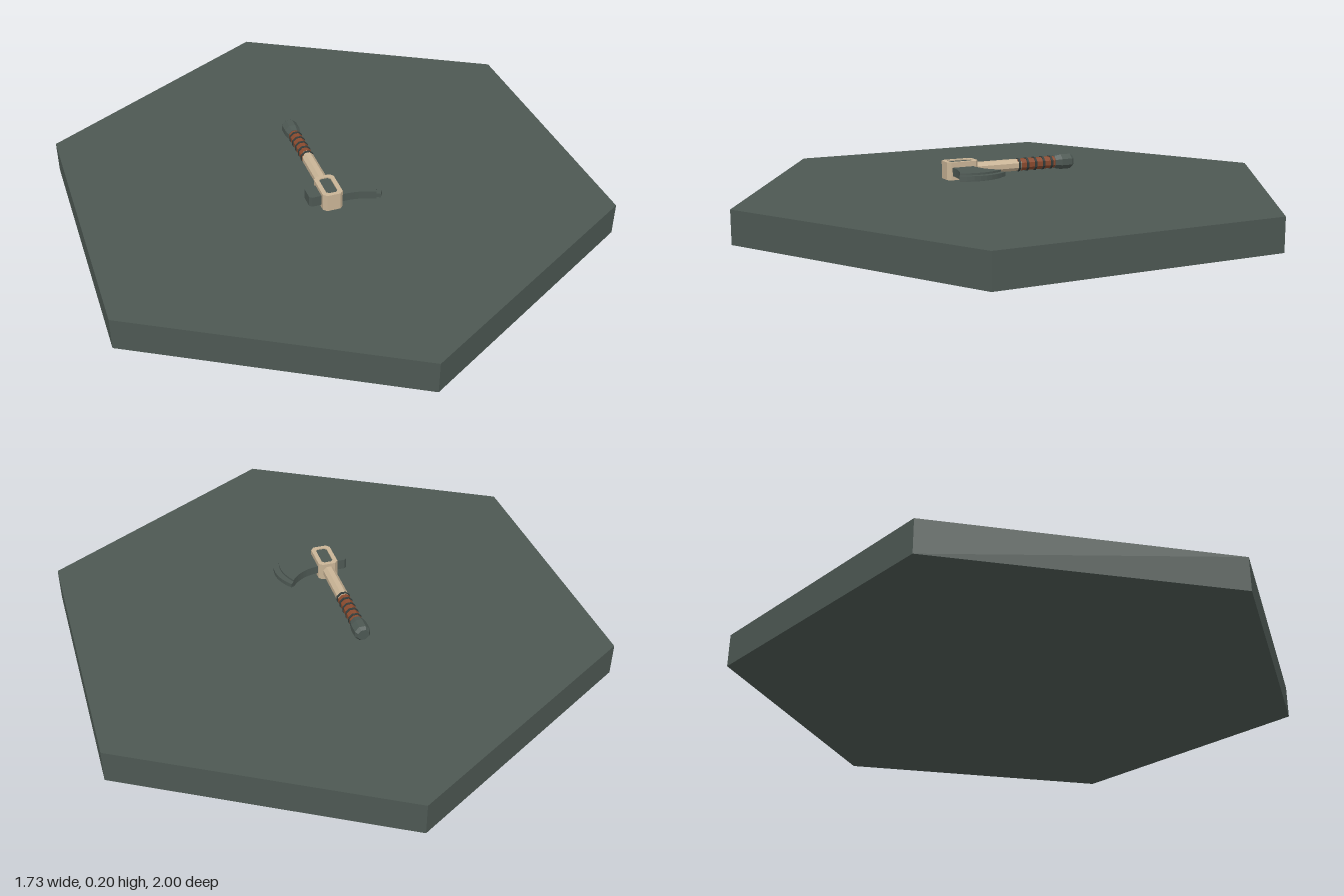
import * as THREE from 'three';

const mat = (name, color) => {
  const m = new THREE.MeshStandardMaterial({ color, flatShading: true });
  m.name = name;
  return m;
};

export function createModel() {
  const model = new THREE.Group();
  const slate = mat('slate', 0x4d5853);
  const tan = mat('tan', 0xc9b496);
  const brown = mat('brown', 0x8a4a2e);
  const dark = mat('charcoal', 0x343c3a);
  const AX = -0.055, AY = 0.172; // axe handle axis

  const add = (name, geo, material) => {
    const mesh = new THREE.Mesh(geo, material);
    mesh.name = name;
    model.add(mesh);
    return mesh;
  };

  // Eight-sided section along z between z0 and z1
  const rod = (name, z0, z1, r0, r1, material) => {
    const geo = new THREE.CylinderGeometry(r1, r0, z1 - z0, 8);
    geo.rotateY(Math.PI / 8).rotateX(Math.PI / 2).translate(AX, AY, (z0 + z1) / 2);
    return add(name, geo, material);
  };

  // Horizontal plate: outline in x and z, between two heights
  const slab = (name, shape, y0, y1, material) => {
    const geo = new THREE.ExtrudeGeometry(shape, { depth: y1 - y0, bevelEnabled: false, curveSegments: 8 });
    geo.rotateX(Math.PI / 2).translate(0, y1, 0);
    return add(name, geo, material);
  };

  // Rectangle with cut corners
  const chamfered = (x0, x1, z0, z1, c, Type = THREE.Shape) => new Type([
    [x0 + c, z0], [x1 - c, z0], [x1, z0 + c], [x1, z1 - c],
    [x1 - c, z1], [x0 + c, z1], [x0, z1 - c], [x0, z0 + c],
  ].map(p => new THREE.Vector2(...p)));

  // Hexagonal base
  add('hexagonalBase', new THREE.CylinderGeometry(1, 1, 0.115, 6).translate(0, 0.0575, 0), slate);

  // Handle, wrapped grip and pommel
  rod('handle', -0.05, 0.14, 0.022, 0.022, tan);
  rod('grip', -0.2, -0.035, 0.022, 0.022, brown);
  for (let i = 0; i < 5; i++) {
    const z = -0.042 - i * 0.032;
    rod('gripBand', z - 0.004, z + 0.004, 0.0245, 0.0245, dark);
  }
  rod('pommelCollar', -0.21, -0.185, 0.029, 0.024, slate);
  rod('pommel', -0.248, -0.21, 0.029, 0.029, slate);
  rod('pommelTip', -0.26, -0.248, 0.021, 0.029, slate);

  // Head collar with a recessed core
  const collar = chamfered(-0.091, -0.021, 0.125, 0.241, 0.012);
  collar.holes.push(chamfered(-0.076, -0.036, 0.139, 0.227, 0.008, THREE.Path));
  slab('headCollar', collar, 0.142, 0.204, tan);
  slab('headCore', chamfered(-0.076, -0.036, 0.139, 0.227, 0.008), 0.146, 0.2, slate);

  // Hammer poll behind the collar
  slab('poll', chamfered(-0.132, -0.085, 0.153, 0.215, 0.008), 0.153, 0.19, slate);

  // Flared blade body
  const blade = new THREE.Shape();
  blade.moveTo(-0.025, 0.147);
  blade.quadraticCurveTo(0.045, 0.145, 0.085, 0.092);
  blade.quadraticCurveTo(0.132, 0.172, 0.092, 0.248);
  blade.quadraticCurveTo(0.04, 0.222, -0.025, 0.225);
  slab('blade', blade, 0.157, 0.186, slate);

  // Thinner cutting edge
  const edge = new THREE.Shape();
  edge.moveTo(0.085, 0.092);
  edge.lineTo(0.096, 0.08);
  edge.quadraticCurveTo(0.163, 0.165, 0.105, 0.256);
  edge.lineTo(0.092, 0.248);
  edge.quadraticCurveTo(0.132, 0.172, 0.085, 0.092);
  slab('cuttingEdge', edge, 0.164, 0.179, slate);

  return model;
}
